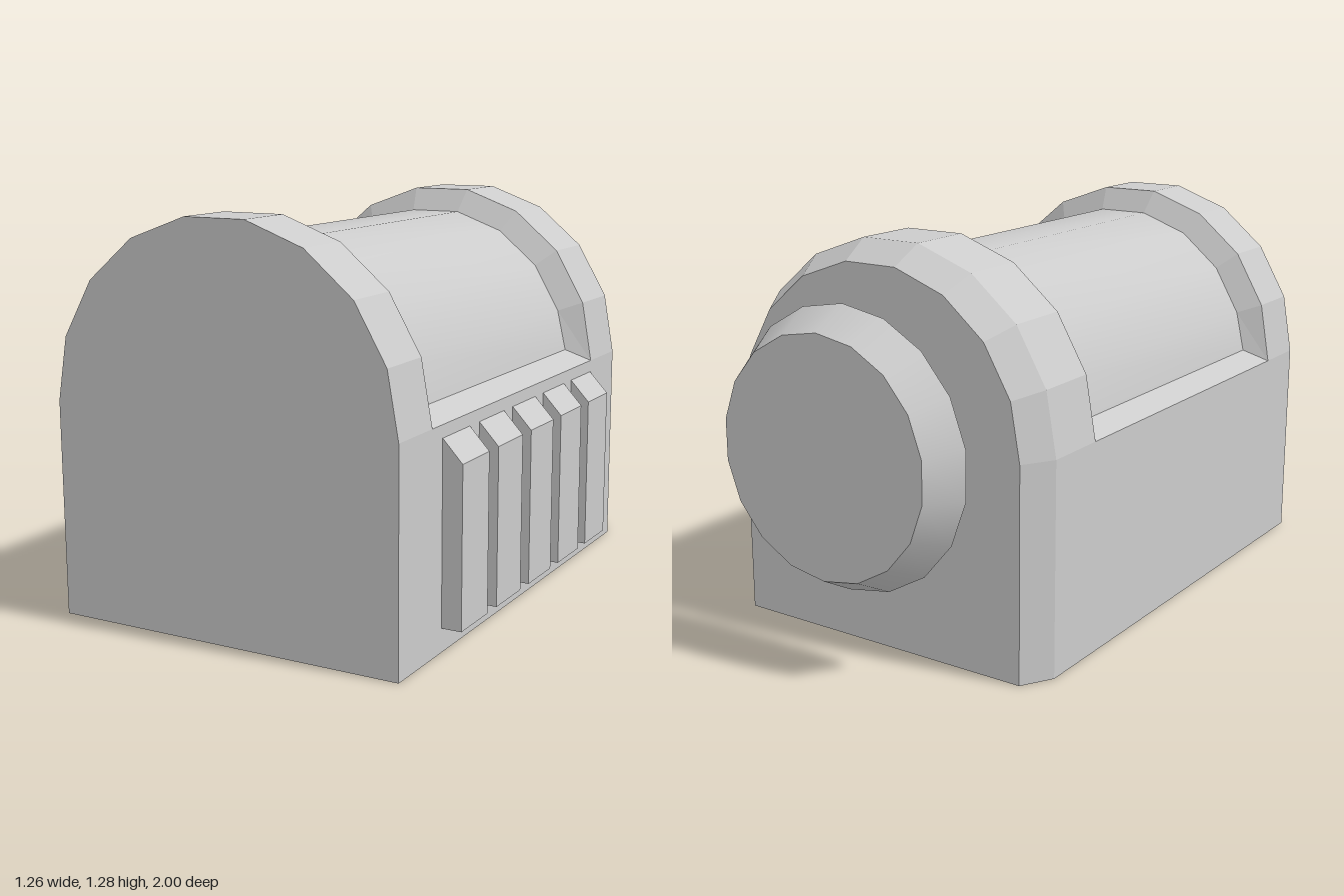
import * as THREE from 'three';

const ARCH_Y = 0.69;   // height where the arch springs from the walls
const SEGMENTS = 9;
const BARREL_R = 0.517;

const flat = new THREE.MeshStandardMaterial({ color: 0xcccccc, flatShading: true, side: THREE.DoubleSide });
const smooth = new THREE.MeshStandardMaterial({ color: 0xcccccc, side: THREE.DoubleSide });

// Half-round arch from +x over the top to -x; the end points can be lifted to footY
function arch(r, z, footY = ARCH_Y) {
  const pts = [];
  for (let i = 0; i <= SEGMENTS; i++) {
    const a = (i / SEGMENTS) * Math.PI;
    const foot = i === 0 || i === SEGMENTS;
    pts.push([r * Math.cos(a), foot ? footY : ARCH_Y + r * Math.sin(a), z]);
  }
  return pts;
}

// Arch with straight walls down to the ground
const wallArch = (r, z) => [[r, 0, z], ...arch(r, z), [-r, 0, z]];

// Skin over cross-sections ordered from front to back
function loft(sections) {
  const n = sections[0].length;
  const index = [];
  for (let s = 0; s < sections.length - 1; s++) {
    for (let j = 0; j < n - 1; j++) {
      const a = s * n + j, b = a + 1, c = a + n, d = c + 1;
      index.push(a, c, b, b, c, d);
    }
  }
  const geo = new THREE.BufferGeometry();
  geo.setAttribute('position', new THREE.Float32BufferAttribute(sections.flat(2), 3));
  geo.setIndex(index);
  geo.computeVertexNormals();
  return geo;
}

// Flat end wall filling a walled arch
function endWall(r, z, facesBack) {
  const shape = new THREE.Shape(wallArch(r, z).map(([x, y]) => new THREE.Vector2(x, y)));
  const geo = new THREE.ShapeGeometry(shape);
  if (facesBack) geo.rotateY(Math.PI);
  return geo.translate(0, 0, z);
}

export function createModel() {
  const model = new THREE.Group();
  model.name = 'archedHousing';
  const add = (name, geo, mat = flat) => {
    const mesh = new THREE.Mesh(geo, mat);
    mesh.name = name;
    model.add(mesh);
    return mesh;
  };

  // End blocks, the rear one chamfered; the underside stays open
  const R = 0.595, BACK_R = 0.535;
  add('frontWall', endWall(R, 1, false));
  add('frontHoop', loft([wallArch(R, 1), wallArch(R, 0.8)]));
  add('rearHoop', loft([wallArch(R, -0.43), wallArch(R, -0.65), wallArch(BACK_R, -0.75)]));
  add('backWall', endWall(BACK_R, -0.75, true));

  // Recessed barrel and the bevels leading down to it
  const barrelFront = arch(BARREL_R, 0.75, 0.73);
  const barrelBack = arch(BARREL_R, -0.38, 0.73);
  add('frontBevel', loft([arch(R, 0.8), barrelFront]));
  add('barrel', loft([barrelFront, barrelBack]), smooth);
  add('rearBevel', loft([barrelBack, arch(R, -0.43)]));

  // Side walls with sloped ledges beside the barrel
  const side = (s, zWall, zLedge) => {
    const pts = [[s * R, 0, zWall], [s * R, ARCH_Y, zWall], [s * BARREL_R, 0.73, zLedge]];
    return s > 0 ? pts : pts.reverse();
  };
  for (const s of [1, -1]) {
    add(s > 0 ? 'leftWall' : 'rightWall', loft([side(s, 0.8, 0.75), side(s, -0.43, -0.38)]));
  }

  // Row of five ribs with sloped tops on the left wall
  const ribShape = new THREE.Shape([[0, 0.075], [0.065, 0.075], [0.065, 0.58], [0, 0.65]]
    .map(([x, y]) => new THREE.Vector2(x, y)));
  const ribGeo = new THREE.ExtrudeGeometry(ribShape, { depth: 0.18, bevelEnabled: false });
  for (let i = 0; i < 5; i++) {
    add('rib' + (i + 1), ribGeo).position.set(R, 0, 0.555 - i * 0.2455);
  }

  // Separate dish behind the back wall: tapered rim, closed at the rear only
  const dishRim = new THREE.CylinderGeometry(0.446, 0.38, 0.12, 18, 1, true);
  dishRim.rotateX(Math.PI / 2);
  add('dishRim', dishRim, smooth).position.set(0, 0.675, -0.94);
  const dishBack = new THREE.CircleGeometry(0.38, 18, Math.PI / 2);
  dishBack.rotateY(Math.PI);
  add('dishBack', dishBack).position.set(0, 0.675, -1);

  // Shift so the body and ribs together are centred
  for (const part of model.children) part.position.x -= 0.035;
  return model;
}
